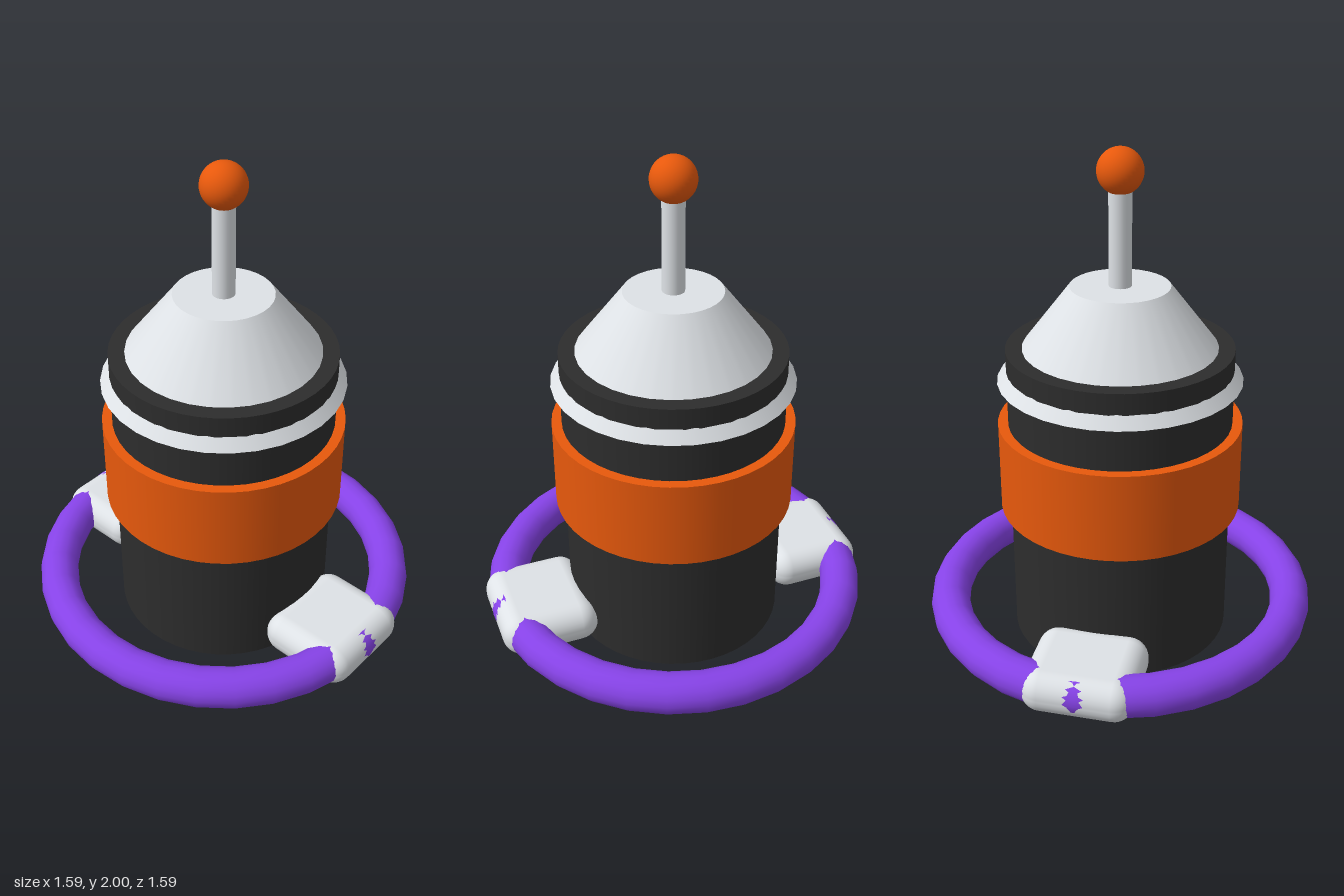
import * as THREE from 'three';
import { RoundedBoxGeometry } from 'three/addons/geometries/RoundedBoxGeometry.js';

const material = (name, color) => {
  const m = new THREE.MeshStandardMaterial({ color });
  m.name = name;
  return m;
};

export function createModel() {
  const model = new THREE.Group();
  const dark = material('charcoal', 0x2d2d2d);
  const orange = material('orange', 0xe8590c);
  const grey = material('light grey', 0xdee2e6);
  const purple = material('purple', 0x8743e8);

  const add = (name, geometry, mat, x, y) => {
    const mesh = new THREE.Mesh(geometry, mat);
    mesh.name = name;
    mesh.position.set(x, y, 0);
    model.add(mesh);
    return mesh;
  };
  // Upright cylinder or cone given by its bottom and top heights
  const turned = (name, rTop, rBottom, y0, y1, mat, sides = 32) =>
    add(name, new THREE.CylinderGeometry(rTop, rBottom, y1 - y0, sides), mat, 0, (y0 + y1) / 2);

  // Central body with its band and the cone sunk into the top
  turned('body', 0.444, 0.444, 0, 1.23, dark, 48);
  turned('band', 0.484, 0.484, 0.56, 0.92, orange, 48);
  turned('cone', 0.193, 0.48, 1.1, 1.475, grey);

  // Antenna
  turned('antennaRod', 0.044, 0.044, 1.47, 1.88, grey, 24);
  add('antennaBall', new THREE.SphereGeometry(0.088, 32, 24), orange, 0, 1.912);

  // Bumper ring lying flat around the base
  const ring = add('bumperRing', new THREE.TorusGeometry(0.716, 0.08, 16, 32), purple, 0, 0.119);
  ring.rotation.x = Math.PI / 2;

  // Rounded brackets joining ring and body
  for (const [side, name] of [[1, 'leftBracket'], [-1, 'rightBracket']]) {
    add(name, new RoundedBoxGeometry(0.4, 0.17, 0.44, 4, 0.08), grey, side * 0.592, 0.115);
  }
  return model;
}
